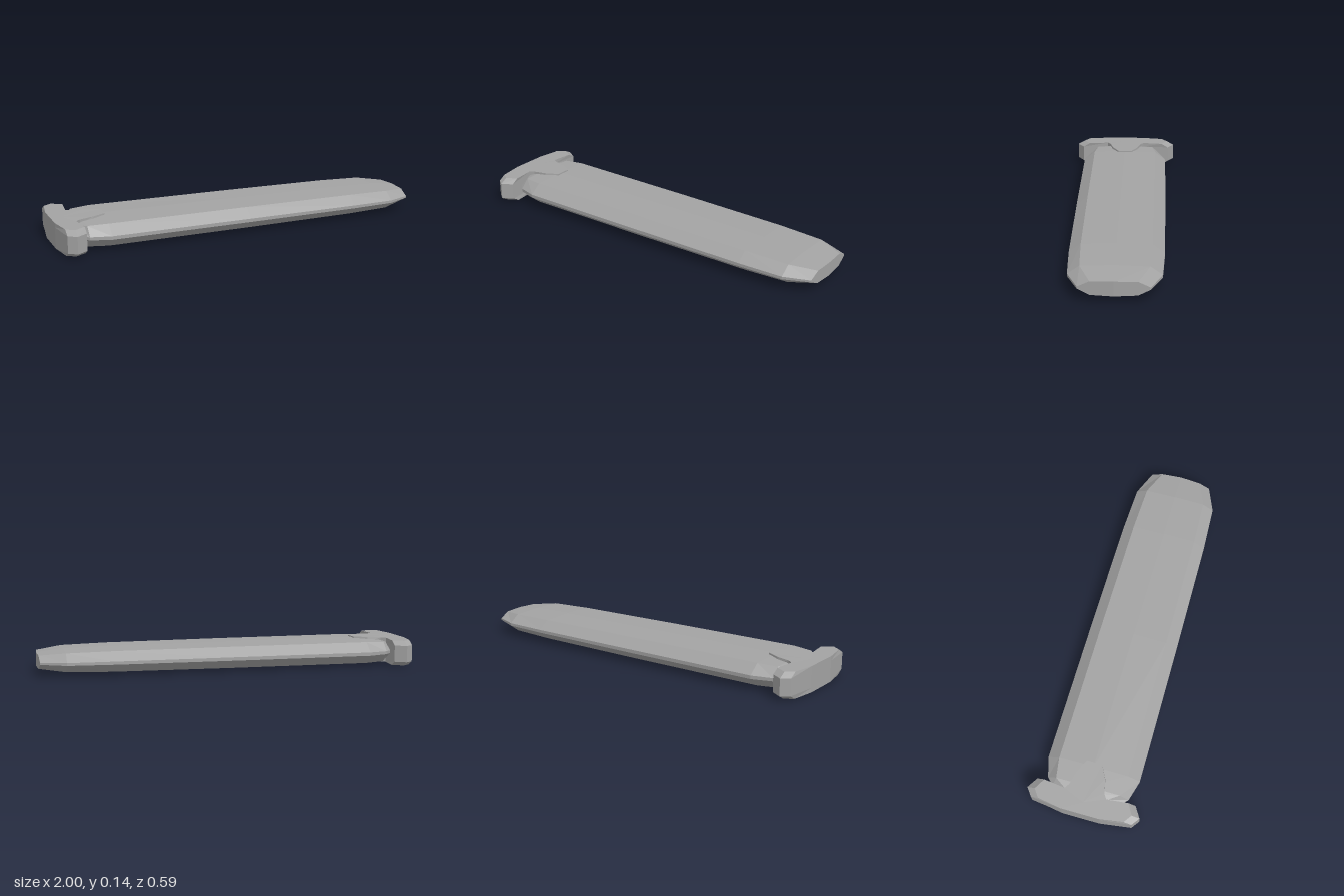
import * as THREE from 'three';

const MID = 0.07; // height of the horizontal symmetry plane

// Joins rings of equal length and closes both ends with fans around a centre point.
function loft(rings, startCentre, endCentre) {
  const pos = [];
  const tri = (...points) => points.forEach((p) => pos.push(...p));
  const n = rings[0].length;
  for (let j = 0; j < n; j++) {
    const k = (j + 1) % n;
    for (let i = 0; i < rings.length - 1; i++) {
      const a = rings[i], b = rings[i + 1];
      tri(a[j], a[k], b[k]);
      tri(a[j], b[k], b[j]);
    }
    tri(startCentre, rings[0][k], rings[0][j]);
    const last = rings[rings.length - 1];
    tri(endCentre, last[j], last[k]);
  }
  const geometry = new THREE.BufferGeometry();
  geometry.setAttribute('position', new THREE.Float32BufferAttribute(pos, 3));
  geometry.computeVertexNormals();
  return geometry;
}

// Ten-sided sheath section: ridge, shoulders and narrow upright edges.
function sheathRing([x, edge, shoulder, edgeH, shoulderH, ridgeH, bulge = 0]) {
  return [
    [ridgeH, 0], [shoulderH, shoulder], [edgeH, edge], [-edgeH, edge], [-shoulderH, shoulder],
    [-ridgeH, 0], [-shoulderH, -shoulder], [-edgeH, -edge], [edgeH, -edge], [shoulderH, -shoulder],
  ].map(([y, z]) => [x + bulge * (1 - Math.abs(z) / edge), MID + y, z]);
}

export function createModel() {
  const grey = new THREE.MeshStandardMaterial({ color: 0xa3a3a3 });
  grey.name = 'grey';
  const group = new THREE.Group();
  group.name = 'sheath';

  const add = (name, geometry) => {
    const mesh = new THREE.Mesh(geometry, grey);
    mesh.name = name;
    group.add(mesh);
  };

  // Long body: x, edge half-width, shoulder half-width, edge, shoulder and ridge half-heights
  const sections = [
    [-0.89, 0.18, 0.115, 0.007, 0.046, 0.052],
    [-0.855, 0.215, 0.168, 0.008, 0.053, 0.06],
    [-0.75, 0.245, 0.184, 0.009, 0.057, 0.064],
    [0, 0.24, 0.18, 0.009, 0.056, 0.061],
    [0.62, 0.233, 0.174, 0.008, 0.053, 0.058],
    [0.86, 0.222, 0.164, 0.007, 0.048, 0.053],
    [0.99, 0.168, 0.11, 0.005, 0.034, 0.037, 0.01],
  ];
  add('body', loft(sections.map(sheathRing), [-0.89, MID, 0], [1, MID, 0]));

  // Throat collar with a tongue: x, z, z on the top face (chamfered tips), top half-height
  const half = [
    [-0.938, 0.296, 0.255, 0.067],
    [-0.882, 0.26, 0.222, 0.067],
    [-0.895, 0.11, 0.11, 0.067],
    [-0.87, 0.093, 0.093, 0.068],
    [-0.8, 0.08, 0.076, 0.07],
    [-0.73, 0.043, 0.04, 0.07],
  ];
  const back = [
    [-0.98, 0.265, 0.225, 0.067],
    [-1, 0.1, 0.1, 0.067],
  ];
  const mirror = (list) => list.map(([x, z, zTop, h]) => [x, -z, -zTop, h]);
  const outline = [
    ...half, ...mirror(half).reverse(),
    ...mirror(back), ...back.slice().reverse(),
  ];
  const face = (side) => outline.map(([x, , zTop, h]) => [x, MID + side * h, zTop]);
  const wall = (side) => outline.map(([x, z]) => [x, MID + side * 0.044, z]);
  add('collar', loft(
    [face(-1), wall(-1), wall(1), face(1)],
    [-0.94, MID - 0.067, 0], [-0.94, MID + 0.067, 0],
  ));

  return group;
}
